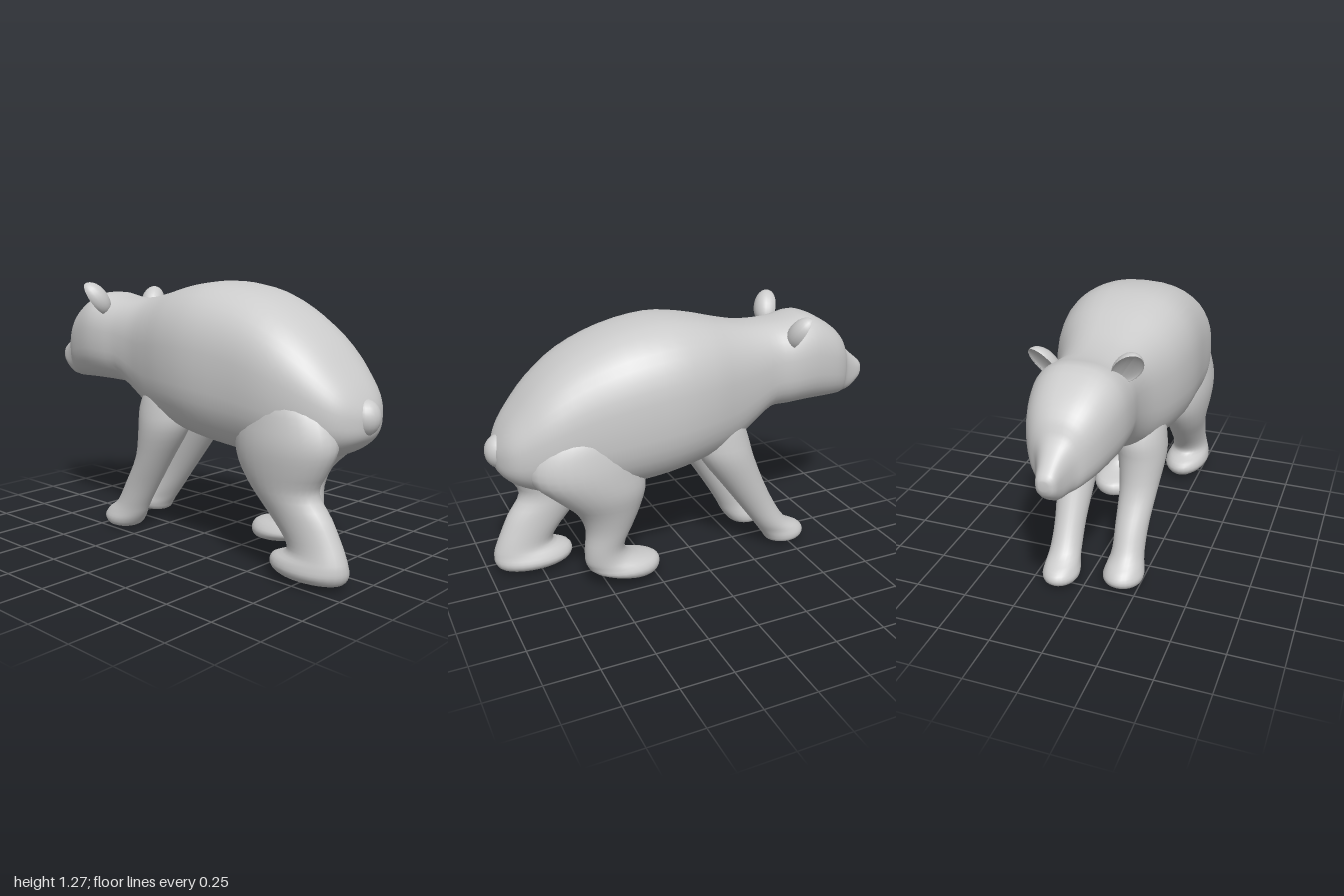
import * as THREE from 'three';

const material = new THREE.MeshStandardMaterial({ color: 0xcccccc });

// Smooth scalar interpolation between section values
function spline(a, b, c, d, t) {
  return b + 0.5 * t * (c - a + t * (2 * a - 5 * b + 4 * c - d + t * (3 * (b - c) + d - a)));
}

// Closed skin over rounded sections [position, min1, max1, min2, max2].
// Along 'x' the ranges are y and z; along 'y' they are x and z. Positions rise.
function loft(name, axis, sections, { power = 2, sides = 28, steps = 3 } = {}) {
  const rings = [];
  const last = sections.length - 1;
  for (let i = 0; i < last; i++) {
    const [a, b, c, d] = [i - 1, i, i + 1, i + 2].map(k => sections[Math.min(last, Math.max(0, k))]);
    for (let s = 0; s < steps; s++) rings.push(b.map((v, k) => spline(a[k], v, c[k], d[k], s / steps)));
  }
  rings.push(sections[last]);

  const points = [], index = [];
  const put = (p, u, w) => (axis === 'x' ? points.push(p, u, w) : points.push(u, p, w));
  const flip = axis === 'x' ? -1 : 1;
  const round = v => Math.sign(v) * Math.abs(v) ** (2 / power);
  for (const [p, u0, u1, w0, w1] of rings) {
    for (let j = 0; j < sides; j++) {
      const t = (j / sides) * Math.PI * 2;
      put(p, (u0 + u1) / 2 + round(Math.cos(t)) * (u1 - u0) / 2,
        (w0 + w1) / 2 + flip * round(Math.sin(t)) * (w1 - w0) / 2);
    }
  }
  for (let i = 0; i < rings.length - 1; i++) {
    for (let j = 0; j < sides; j++) {
      const k = (j + 1) % sides, lo = i * sides, hi = lo + sides;
      index.push(lo + j, hi + j, lo + k, lo + k, hi + j, hi + k);
    }
  }
  // End caps
  for (const [r, top] of [[0, false], [rings.length - 1, true]]) {
    const [p, u0, u1, w0, w1] = rings[r];
    const centre = points.length / 3;
    put(p, (u0 + u1) / 2, (w0 + w1) / 2);
    for (let j = 0; j < sides; j++) {
      const a = r * sides + j, b = r * sides + (j + 1) % sides;
      index.push(centre, ...(top ? [b, a] : [a, b]));
    }
  }
  const geometry = new THREE.BufferGeometry();
  geometry.setAttribute('position', new THREE.Float32BufferAttribute(points, 3));
  geometry.setIndex(index);
  geometry.computeVertexNormals();
  const mesh = new THREE.Mesh(geometry, material);
  mesh.name = name;
  return mesh;
}

// Cupped ear: the forward half of an ellipsoid is folded inwards
function ear(name, x, y, z, side) {
  const geometry = new THREE.SphereGeometry(1, 20, 14);
  const p = geometry.attributes.position;
  for (let i = 0; i < p.count; i++) if (p.getX(i) < 0) p.setX(i, p.getX(i) * -0.3);
  geometry.scale(0.06, 0.095, 0.062);
  geometry.computeVertexNormals();
  const mesh = new THREE.Mesh(geometry, material);
  mesh.name = name;
  mesh.position.set(x, y, z);
  mesh.rotation.set(side * 0.4, side * 0.5, 0.35);
  return mesh;
}

export function createModel() {
  const model = new THREE.Group();
  model.name = 'bear';

  // Muzzle, head, neck, trunk and rump in one skin
  model.add(loft('body', 'x', [
    [-1.0, 0.815, 0.855, 0.02, 0.06],
    [-0.985, 0.78, 0.88, 0.0, 0.085],
    [-0.93, 0.735, 0.925, -0.02, 0.1],
    [-0.87, 0.725, 0.98, -0.05, 0.125],
    [-0.83, 0.725, 1.05, -0.095, 0.165],
    [-0.75, 0.73, 1.12, -0.14, 0.21],
    [-0.62, 0.735, 1.185, -0.175, 0.245],
    [-0.5, 0.735, 1.17, -0.185, 0.245],
    [-0.4, 0.725, 1.165, -0.17, 0.235],
    [-0.28, 0.65, 1.175, -0.2, 0.245],
    [-0.15, 0.58, 1.205, -0.25, 0.28],
    [0.0, 0.55, 1.245, -0.31, 0.32],
    [0.18, 0.52, 1.267, -0.345, 0.34],
    [0.4, 0.5, 1.235, -0.33, 0.325],
    [0.6, 0.5, 1.15, -0.285, 0.31],
    [0.75, 0.52, 1.04, -0.25, 0.27],
    [0.86, 0.56, 0.92, -0.2, 0.215],
    [0.92, 0.6, 0.84, -0.15, 0.16],
    [0.955, 0.64, 0.775, -0.08, 0.09],
    [0.965, 0.68, 0.74, -0.03, 0.04],
  ], { power: 2.5, sides: 40 }));

  // Legs, each from the sole up into the trunk
  model.add(loft('leftFrontLeg', 'y', [
    [0.0, -0.44, -0.36, 0.13, 0.2],
    [0.015, -0.49, -0.32, 0.08, 0.25],
    [0.05, -0.515, -0.29, 0.07, 0.265],
    [0.09, -0.49, -0.265, 0.08, 0.255],
    [0.14, -0.425, -0.24, 0.09, 0.245],
    [0.25, -0.36, -0.175, 0.085, 0.245],
    [0.4, -0.275, -0.08, 0.075, 0.26],
    [0.55, -0.25, 0.015, 0.05, 0.28],
    [0.65, -0.25, 0.04, 0.03, 0.275],
    [0.76, -0.21, 0.03, 0.04, 0.25],
    [0.88, -0.14, -0.04, 0.1, 0.18],
  ]));
  model.add(loft('rightFrontLeg', 'y', [
    [0.01, -0.53, -0.43, -0.15, -0.08],
    [0.025, -0.58, -0.39, -0.195, -0.04],
    [0.055, -0.595, -0.37, -0.205, -0.03],
    [0.09, -0.57, -0.345, -0.2, -0.04],
    [0.14, -0.485, -0.31, -0.2, -0.05],
    [0.25, -0.41, -0.23, -0.205, -0.055],
    [0.4, -0.335, -0.12, -0.225, -0.045],
    [0.55, -0.275, -0.01, -0.245, -0.03],
    [0.65, -0.25, 0.03, -0.24, -0.01],
    [0.76, -0.21, 0.02, -0.22, -0.02],
    [0.88, -0.14, -0.04, -0.15, -0.07],
  ]));
  model.add(loft('leftHindLeg', 'y', [
    [0.02, 0.66, 0.88, 0.12, 0.2],
    [0.03, 0.61, 0.945, 0.07, 0.25],
    [0.065, 0.58, 0.97, 0.045, 0.28],
    [0.105, 0.595, 0.97, 0.06, 0.275],
    [0.14, 0.67, 0.96, 0.075, 0.26],
    [0.2, 0.65, 0.935, 0.08, 0.255],
    [0.3, 0.56, 0.885, 0.08, 0.265],
    [0.4, 0.475, 0.82, 0.075, 0.285],
    [0.5, 0.41, 0.865, 0.06, 0.305],
    [0.6, 0.385, 0.905, 0.03, 0.315],
    [0.7, 0.4, 0.88, 0.03, 0.305],
    [0.8, 0.44, 0.81, 0.04, 0.28],
    [0.9, 0.52, 0.68, 0.1, 0.2],
  ]));
  model.add(loft('rightHindLeg', 'y', [
    [0.04, 0.26, 0.4, -0.19, -0.08],
    [0.05, 0.24, 0.48, -0.235, -0.03],
    [0.085, 0.23, 0.57, -0.26, -0.01],
    [0.12, 0.255, 0.595, -0.25, -0.03],
    [0.155, 0.37, 0.605, -0.235, -0.06],
    [0.22, 0.415, 0.605, -0.235, -0.07],
    [0.32, 0.375, 0.6, -0.25, -0.07],
    [0.42, 0.335, 0.64, -0.275, -0.06],
    [0.52, 0.31, 0.74, -0.305, -0.05],
    [0.62, 0.32, 0.84, -0.315, -0.03],
    [0.72, 0.34, 0.84, -0.305, -0.03],
    [0.82, 0.4, 0.77, -0.275, -0.04],
    [0.92, 0.5, 0.66, -0.2, -0.1],
  ]));

  model.add(ear('leftEar', -0.535, 1.16, 0.225, 1));
  model.add(ear('rightEar', -0.52, 1.125, -0.15, -1));

  // Short tail, mostly sunk into the rump
  const tail = new THREE.Mesh(new THREE.SphereGeometry(1, 20, 14), material);
  tail.name = 'tail';
  tail.scale.set(0.07, 0.08, 0.07);
  tail.position.set(0.93, 0.725, 0.005);
  model.add(tail);

  return model;
}
